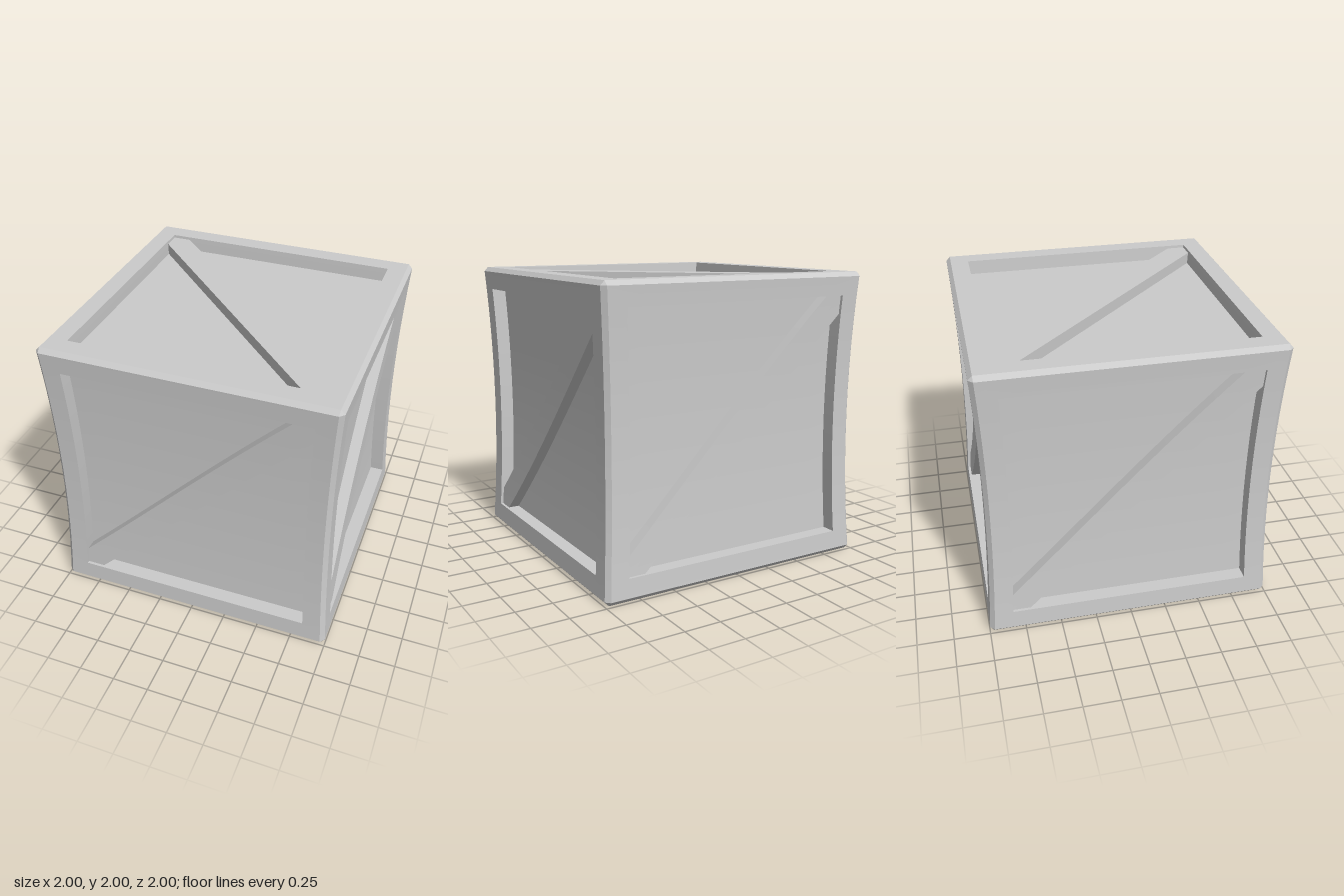
import * as THREE from 'three';
import { toCreasedNormals } from 'three/addons/utils/BufferGeometryUtils.js';

const R = 1;        // half size
const E = 0.97;     // flat face ends here, chamfer begins
const M = 0.985;    // middle of the chamfer
const C = 0.98;     // centre of the cut corner
const A = 0.842;    // half width of the opening
const FLOOR = 0.9;  // recessed panel
const BRACE = 0.98; // outer surface of the diagonal brace
const W = 0.127;    // brace cut-off along each opening edge
const SEG = 12;

// Subdivided four-cornered patch, corners counter-clockwise seen from outside
function patch(out, a, b, c, d, n = SEG) {
  const at = (u, v) => a.clone().lerp(b, u).lerp(d.clone().lerp(c, u), v);
  for (let i = 0; i < n; i++) {
    for (let j = 0; j < n; j++) {
      const [u, v, u2, v2] = [i / n, j / n, (i + 1) / n, (j + 1) / n];
      out.push(at(u, v), at(u2, v), at(u2, v2), at(u, v), at(u2, v2), at(u, v2));
    }
  }
}

const V = (x, y, z) => new THREE.Vector3(x, y, z);

// One quarter of a face's rim (the lower one), turned four times
function frameFace() {
  const out = [];
  for (let k = 0; k < 4; k++) {
    const quarter = [];
    // mitred frame board and the inner wall of the opening
    patch(quarter, V(-E, -E, R), V(E, -E, R), V(A, -A, R), V(-A, -A, R));
    patch(quarter, V(-A, -A, R), V(A, -A, R), V(A, -A, FLOOR), V(-A, -A, FLOOR));
    // half of the edge chamfer and a third of the cut corner
    patch(quarter, V(-E, -M, M), V(E, -M, M), V(E, -E, R), V(-E, -E, R));
    patch(quarter, V(E, -E, R), V(E, -M, M), V(C, -C, C), V(M, -E, M), 1);
    quarter.forEach(p => out.push(p.applyAxisAngle(V(0, 0, 1), k * Math.PI / 2)));
  }
  return out;
}

function panelFace() {
  const out = [];
  patch(out, V(-A, -A, FLOOR), V(A, -A, FLOOR), V(A, A, FLOOR), V(-A, A, FLOOR));
  return out;
}

// Diagonal board from lower left to upper right, fitted into both corners
function braceFace() {
  const out = [], z = BRACE, f = FLOOR;
  for (let k = 0; k < 2; k++) {
    const half = [];
    patch(half, V(-A, -A, z), V(-A + W, -A, z), V(A, A - W, z), V(A, A, z));
    patch(half, V(-A + W, -A, f), V(A, A - W, f), V(A, A - W, z), V(-A + W, -A, z));
    half.forEach(p => out.push(p.applyAxisAngle(V(0, 0, 1), k * Math.PI)));
  }
  return out;
}

// Pinch the waist: x and z shrink toward mid height, then stand on the ground
function pinch(p) {
  const s = 0.965 + 0.035 * Math.min(1, p.y * p.y);
  return V(p.x * s, p.y + 1, p.z * s);
}

export function createModel() {
  const group = new THREE.Group();
  group.name = 'crate';
  const material = new THREE.MeshStandardMaterial({ color: 0xcccccc });
  const add = (name, points) => {
    const flat = new THREE.BufferGeometry().setFromPoints(points.map(pinch));
    const mesh = new THREE.Mesh(toCreasedNormals(flat, 0.35), material);
    mesh.name = name;
    group.add(mesh);
  };

  // Each side as a rotation of the front face
  const H = Math.PI / 2;
  const turn = (x, y, z) => new THREE.Matrix4().makeRotationFromEuler(new THREE.Euler(x, y, z));
  const sides = {
    front: turn(0, 0, 0), left: turn(0, H, 0), back: turn(0, 2 * H, 0), right: turn(0, -H, 0),
    top: turn(-H, 0, H), bottom: turn(H, 0, H),
  };

  const frame = [];
  for (const [side, matrix] of Object.entries(sides)) {
    const place = points => points.map(p => p.applyMatrix4(matrix));
    frame.push(...place(frameFace()));
    add(side + 'Panel', place(panelFace()));
    add(side + 'Brace', place(braceFace()));
  }
  add('frame', frame);
  return group;
}
